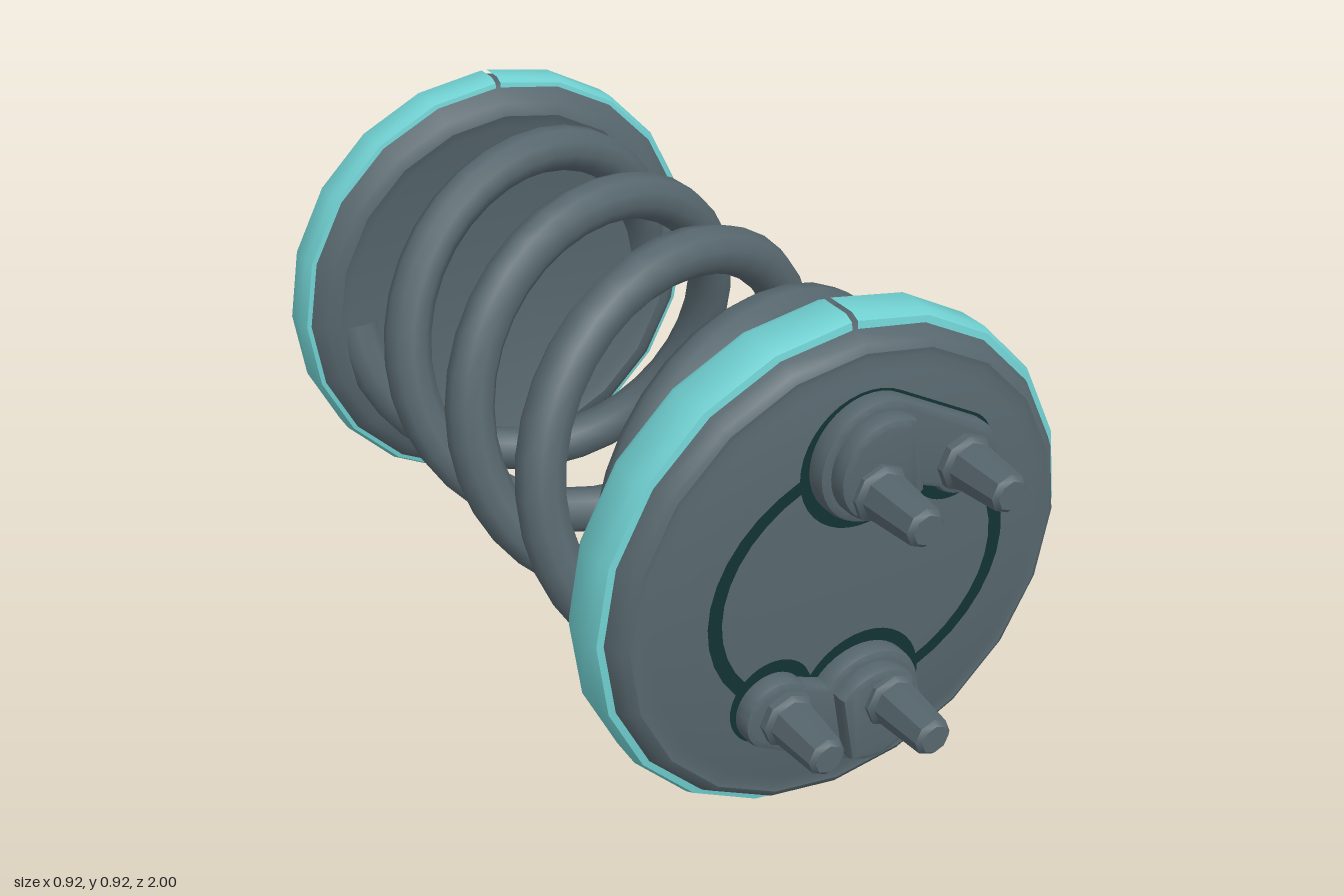
import * as THREE from 'three';
import { toCreasedNormals } from 'three/addons/utils/BufferGeometryUtils.js';

const CENTRE_Y = 0.46;
const rad = THREE.MathUtils.degToRad;

export function createModel() {
  const metal = new THREE.MeshStandardMaterial({ name: 'slate metal', color: 0x56666d });
  const teal = new THREE.MeshStandardMaterial({ name: 'bright teal', color: 0x70cfd0 });
  const dark = new THREE.MeshStandardMaterial({ name: 'dark teal', color: 0x123232 });

  const model = new THREE.Group();
  model.name = 'coilUnit';
  const body = new THREE.Group(); // z axis runs through the middle of the unit
  body.name = 'body';
  body.position.y = CENTRE_Y;
  model.add(body);

  function add(name, geometry, material, parent = body) {
    const mesh = new THREE.Mesh(geometry, material);
    mesh.name = name;
    parent.add(mesh);
    return mesh;
  }

  // Turned part about z; profile is [radius, z] with z rising on the outside
  function turned(profile, sides = 20, start = 0, length = Math.PI * 2) {
    const points = profile.map(([r, z]) => new THREE.Vector2(r, z));
    const geometry = new THREE.LatheGeometry(points, sides, start, length);
    geometry.rotateX(Math.PI / 2);
    return toCreasedNormals(geometry, 0.6);
  }

  // Two half bands around a rim, leaving a slit at top and bottom
  function rimBand(name, z0, z1, r) {
    const gap = 0.012;
    for (const side of [0, 1]) {
      add(name, turned([
        [r - 0.03, z0], [r - 0.008, z0 + 0.004], [r, z0 + 0.02],
        [r, z1 - 0.02], [r - 0.008, z1 - 0.004], [r - 0.03, z1],
      ], 10, side * Math.PI + gap, Math.PI - 2 * gap), teal);
    }
  }

  // Front end cap
  add('frontCap', turned([
    [0, 0.65], [0.36, 0.65], [0.385, 0.64], [0.41, 0.645], [0.437, 0.668],
    [0.445, 0.69], [0.445, 0.745], [0.437, 0.77], [0.425, 0.79],
    [0.412, 0.797], [0.4, 0.795], [0.38, 0.802], [0.2, 0.81], [0, 0.812],
  ]), metal);
  rimBand('frontRimBand', 0.667, 0.765, 0.459);

  // Back end cap with its stepped collar and open recess
  add('backCap', turned([
    [0, -0.57], [0.34, -0.575], [0.39, -0.595], [0.415, -0.59], [0.437, -0.57],
    [0.443, -0.55], [0.443, -0.49], [0.437, -0.475], [0.41, -0.452], [0.385, -0.445],
    [0.36, -0.455], [0, -0.455],
  ]), metal);
  rimBand('backRimBand', -0.562, -0.473, 0.454);
  add('backGroove', turned([[0.335, -0.604], [0.365, -0.604], [0.365, -0.58]]), dark);
  add('backCollar', turned([
    [0.24, -0.575], [0.245, -0.63], [0.265, -0.655], [0.3, -0.66],
    [0.335, -0.65], [0.35, -0.635], [0.35, -0.585],
  ]), metal);
  add('recessFloor', turned([[0, -0.58], [0.243, -0.58], [0.243, -0.57]]), dark);
  add('recessWall', turned([[0.237, -0.575], [0.24, -0.63]]), dark);

  // Two interleaved spring coils
  class Helix extends THREE.Curve {
    constructor(phase) { super(); this.phase = phase; }
    getPoint(t, target = new THREE.Vector3()) {
      const z = -0.48 + 1.16 * t;
      const a = this.phase + (z + 0.06) / 0.565 * Math.PI * 2;
      return target.set(0.34 * Math.cos(a), 0.34 * Math.sin(a), z);
    }
  }
  for (const phase of [Math.PI / 2, -Math.PI / 2]) {
    add('springCoil', new THREE.TubeGeometry(new Helix(phase), 72, 0.046, 10), metal);
  }

  // Dark oval seam on the front face
  const seam = add('frontSeam', new THREE.RingGeometry(0.262, 0.288, 40), dark);
  seam.scale.y = 0.86;
  seam.position.set(0.005, 0.008, 0.8135);

  // Outline of a terminal plate: large lobe, straight upper edge, small lobe
  function plateShape(grow) {
    const shape = new THREE.Shape();
    shape.absarc(0, 0.238, 0.1 + grow, rad(60), rad(325));
    shape.absarc(0.175, 0.193, 0.057 + grow, rad(215), rad(420));
    shape.closePath();
    return shape;
  }
  function extruded(shape, depth, bevel) {
    return toCreasedNormals(new THREE.ExtrudeGeometry(shape, {
      depth, bevelEnabled: true, bevelThickness: bevel, bevelSize: bevel, bevelSegments: 2, curveSegments: 14,
    }), 0.5);
  }
  function frontBolt(parent, x, y, baseZ, tipZ) {
    const bolt = add('frontBolt', turned([
      [0.05, baseZ], [0.05, baseZ + 0.02], [0.042, baseZ + 0.028],
      [0.034, tipZ - 0.008], [0.026, tipZ], [0, tipZ],
    ], 8), metal, parent);
    bolt.position.set(x, y, 0);
  }

  // Pair of terminals on the front, the second turned by half a circle
  for (const turn of [0, Math.PI]) {
    const terminal = new THREE.Group();
    terminal.name = 'frontTerminal';
    terminal.position.set(0.0075, 0.0075, 0);
    terminal.rotation.z = turn;
    body.add(terminal);

    const shadowGap = add('terminalSeam', new THREE.ShapeGeometry(plateShape(0.022), 14), dark, terminal);
    shadowGap.position.set(-0.01, -0.009, 0.8145);
    const plate = add('terminalPlate', extruded(plateShape(-0.004), 0.03, 0.012), metal, terminal);
    plate.position.set(-0.0075, 0, 0.805);

    // Raised half of the large lobe
    const hood = new THREE.Shape();
    hood.absarc(0, 0.238, 0.078, rad(62), rad(320));
    hood.closePath();
    const raised = add('terminalHood', extruded(hood, 0.025, 0.012), metal, terminal);
    raised.position.set(-0.0075, 0, 0.84);

    frontBolt(terminal, -0.0275, 0.2075, 0.865, 1.0);
    frontBolt(terminal, 0.1575, 0.195, 0.84, 0.97);
  }

  // Back terminals: hexagonal nut, collar, tapered pin with a teal band
  const backTerminals = [
    { x: 0.02, y: 0.15, tip: -1.0, nutR: 0.095, nutZ: -0.67, open: false },
    { x: -0.165, y: -0.14, tip: -0.985, nutR: 0.1, nutZ: -0.66, open: false },
    { x: 0.175, y: -0.14, tip: -0.985, nutR: 0.095, nutZ: -0.66, open: true },
  ];
  for (const { x, y, tip, nutR, nutZ, open } of backTerminals) {
    const terminal = new THREE.Group();
    terminal.name = 'backTerminal';
    terminal.position.set(x, y, 0);
    body.add(terminal);

    add('nutBase', turned([
      [0, nutZ - 0.09], [nutR - 0.015, nutZ - 0.09], [nutR, nutZ - 0.075],
      [nutR, nutZ - 0.015], [nutR - 0.015, nutZ], [nutR - 0.03, -0.575],
    ], 8), metal, terminal);
    add('nutCollar', turned([
      [0.04, -0.79], [0.06, -0.79], [0.068, -0.78], [0.07, nutZ - 0.08],
    ], 6), metal, terminal);
    if (open) add('nutSocket', turned([[0.03, -0.7925], [0.058, -0.7925]], 6), dark, terminal);
    add('pin', turned([
      [0, tip], [0.027, tip], [0.033, tip + 0.012], [0.046, -0.78],
    ], 8), metal, terminal);
    add('pinBand', turned([
      [0.034, tip + 0.036], [0.0375, tip + 0.036], [0.0395, tip + 0.07], [0.036, tip + 0.07],
    ], 8), teal, terminal);
  }

  return model;
}
